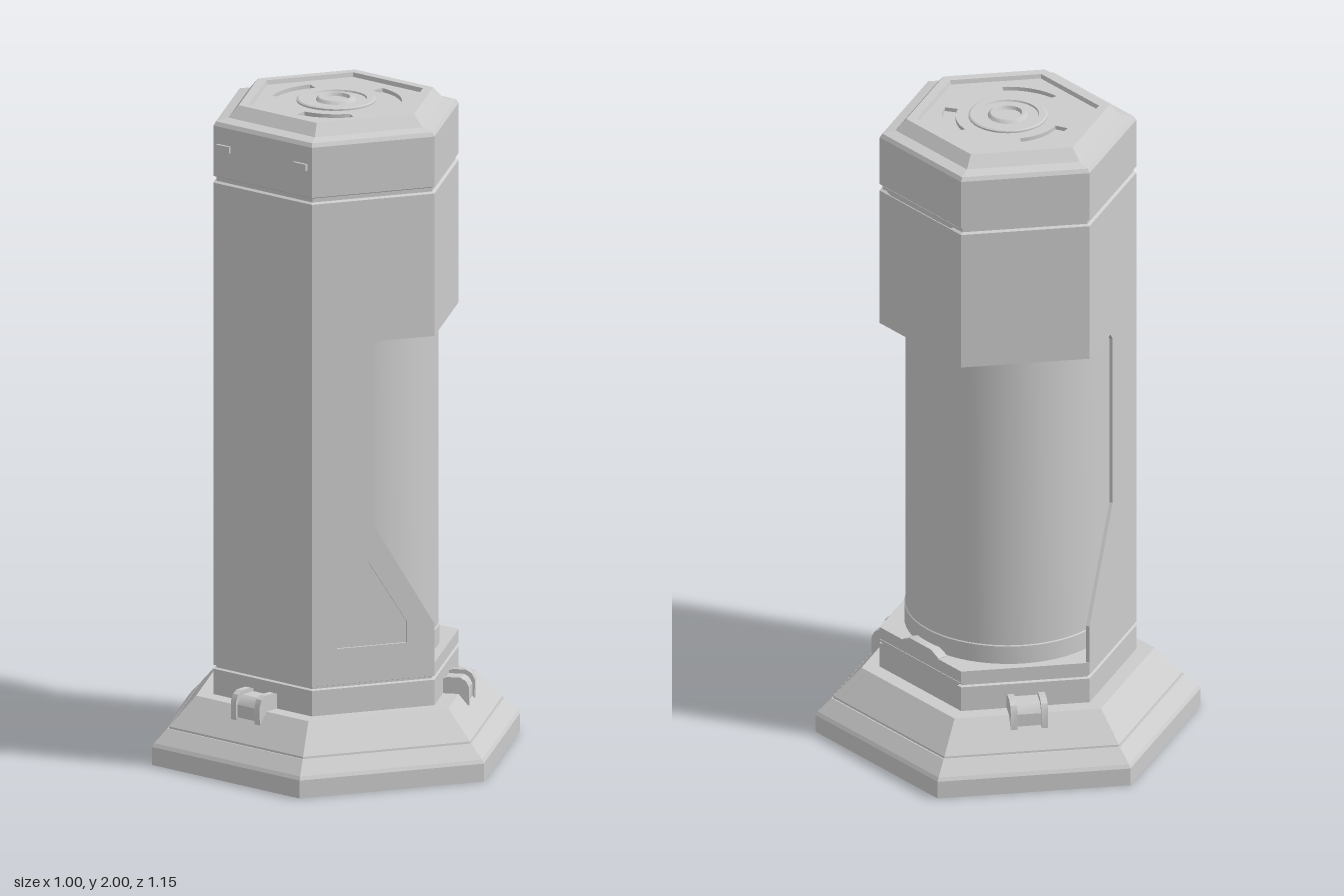
import * as THREE from 'three';
import { toCreasedNormals } from 'three/addons/utils/BufferGeometryUtils.js';

const COS30 = Math.cos(Math.PI / 6);
const APOTHEM = 0.333;
const HALF_SIDE = APOTHEM * Math.tan(Math.PI / 6);
const HEAD_Y = 1.333; // lower edge of the head
const deg = Math.PI / 180;

const material = new THREE.MeshStandardMaterial({ color: 0xcccccc });

function part(name, geometry, crease = 0.5) {
  const mesh = new THREE.Mesh(toCreasedNormals(geometry, crease), material);
  mesh.name = name;
  return mesh;
}

const vectors = (pts) => pts.map(([x, y]) => new THREE.Vector2(x, y));

// Six-sided turned solid; the profile is [apothem, y], bottom to top
function hexTurned(name, profile) {
  const pts = profile.map(([a, y]) => [a / COS30, y]);
  return part(name, new THREE.LatheGeometry(vectors(pts), 6), 0.1);
}

function roundTurned(name, profile) {
  return part(name, new THREE.LatheGeometry(vectors(profile), 64));
}

// Flat outline laid on a hexagon face; z points outward from the face
function facePlate(name, outline, angle, from, depth, hole) {
  const shape = new THREE.Shape(vectors(outline));
  if (hole) shape.holes.push(new THREE.Path(vectors(hole)));
  const geo = new THREE.ExtrudeGeometry(shape, { depth, bevelEnabled: false });
  geo.translate(0, 0, from);
  geo.rotateY(angle * deg);
  return part(name, geo);
}

// Thin side wall of the spine, with a sunken panel near the foot
function spineWall(mirror) {
  const toFace = ([x, y]) => [mirror * (x / COS30 + HALF_SIDE), y];
  const outline = [
    [-APOTHEM, 0.33], [0, 0.33], [0, 0.45], [-0.165, 0.77], [-0.165, 1.31], [-0.15, HEAD_Y], [-APOTHEM, HEAD_Y],
  ].map(toFace);
  const panel = [[-0.265, 0.4], [-0.075, 0.4], [-0.075, 0.465], [-0.18, 0.66], [-0.265, 0.66]].map(toFace);
  const angle = mirror > 0 ? -30 : -150;
  const group = new THREE.Group();
  group.name = 'spineSideWall';
  group.add(
    facePlate('spineSkin', outline, angle, APOTHEM - 0.007, 0.007, panel),
    facePlate('spineLiner', outline, angle, APOTHEM - 0.011, 0.004),
  );
  return group;
}

// Foot clip: two rounded lugs with a slightly lower block between them
function clip(angle) {
  const group = new THREE.Group();
  group.name = 'footClip';
  const lug = [[0.32, 0.15], [0.41, 0.15], [0.412, 0.22], [0.402, 0.24], [0.385, 0.25], [0.345, 0.25], [0.32, 0.24]];
  const bridge = [[0.32, 0.15], [0.404, 0.15], [0.404, 0.21], [0.394, 0.228], [0.38, 0.237], [0.32, 0.237]];
  for (const [outline, start, width] of [[lug, -0.056, 0.02], [lug, 0.036, 0.02], [bridge, -0.036, 0.072]]) {
    const geo = new THREE.ExtrudeGeometry(new THREE.Shape(vectors(outline)), { depth: width, bevelEnabled: false });
    geo.translate(0, 0, start);
    geo.rotateY(-Math.PI / 2);
    group.add(part('clipPiece', geo));
  }
  group.rotation.y = angle * deg;
  return group;
}

// Top plate with three arc slots
function topPlate() {
  const corners = [];
  for (let i = 0; i < 6; i++) {
    const a = (30 + 60 * i) * deg;
    corners.push([0.233 / COS30 * Math.cos(a), 0.233 / COS30 * Math.sin(a)]);
  }
  const shape = new THREE.Shape(vectors(corners));
  for (const mid of [90, 210, 330]) {
    const a0 = (mid - 26) * deg;
    const a1 = (mid + 26) * deg;
    const slot = new THREE.Path();
    slot.absarc(0, 0, 0.195, a0, a1, false);
    slot.absarc(0, 0, 0.155, a1, a0, true);
    shape.holes.push(slot);
  }
  const geo = new THREE.ExtrudeGeometry(shape, { depth: 0.012, bevelEnabled: false, curveSegments: 16 });
  geo.rotateX(-Math.PI / 2);
  geo.translate(0, 1.975, 0);
  return part('topPlate', geo);
}

export function createModel() {
  const model = new THREE.Group();
  model.name = 'hexagonalCanister';

  // Flared foot with a shallow dished underside
  model.add(hexTurned('foot', [
    [0, 0.06], [0.29, 0.06], [0.465, 0.01], [0.475, 0], [0.5, 0], [0.5, 0.055], [0.494, 0.066],
    [0.458, 0.107], [0.454, 0.107], [0.453, 0.113], [0.38, 0.2], [0.3, 0.2],
  ]));

  // Collar with its seam
  model.add(hexTurned('collar', [
    [APOTHEM, 0.195], [APOTHEM, 0.278], [0.324, 0.281], [0.324, 0.287], [APOTHEM, 0.29], [APOTHEM, 0.33], [0, 0.33],
  ]));
  model.add(facePlate('collarTrim',
    [[-0.19, 0.292], [-0.16, 0.268], [0.16, 0.268], [0.19, 0.292]], 90, 0.32, 0.015));
  model.add(facePlate('collarTab',
    [[-0.085, 0.32], [0.085, 0.32], [0.085, 0.332], [0.05, 0.348], [-0.05, 0.348], [-0.085, 0.332]], 90, 0.3, 0.033));

  // Round barrel, running up inside the hollow head
  model.add(roundTurned('barrel', [
    [0.307, 0.32], [0.307, 0.387], [0.304, 0.39], [0.304, 1.72],
  ]));

  // Thin-walled spine on the -x side
  model.add(spineWall(1), spineWall(-1));
  model.add(facePlate('spineBackWall', [
    [-HALF_SIDE, 0.33], [HALF_SIDE, 0.33], [HALF_SIDE, HEAD_Y], [-HALF_SIDE, HEAD_Y],
  ], -90, APOTHEM - 0.008, 0.008));

  // Head and cap in one profile: open below, with a seam between them
  model.add(hexTurned('head', [
    [0, 1.7], [0.323, 1.7], [0.323, HEAD_Y], [APOTHEM, HEAD_Y], [APOTHEM, 1.77], [0.325, 1.775], [0.325, 1.787],
    [APOTHEM, 1.791], [APOTHEM, 1.945], [0.326, 1.957], [0.292, 1.965], [0.264, 2], [0.236, 2], [0.23, 1.975], [0, 1.975],
  ]));
  model.add(facePlate('headTrim',
    [[-0.18, 1.791], [-0.14, 1.774], [0.14, 1.774], [0.18, 1.791]], 90, 0.32, 0.014));

  // Small tabs on the cap, -x side
  for (const u of [-0.15, 0.15]) {
    model.add(facePlate('capTab',
      [[u - 0.025, 1.872], [u + 0.025, 1.872], [u + 0.025, 1.892], [u - 0.025, 1.892]], -90, 0.325, 0.016));
  }

  // Top plate and central ringed button
  model.add(topPlate());
  model.add(roundTurned('topButton', [
    [0.117, 1.98], [0.117, 1.992], [0.112, 1.995], [0.092, 1.995], [0.09, 1.99], [0.06, 1.99],
    [0.056, 1.997], [0.052, 2], [0.042, 2], [0.038, 1.99], [0, 1.99],
  ]));

  // Foot clips on every other face
  for (const angle of [-90, 30, 150]) model.add(clip(angle));

  return model;
}
